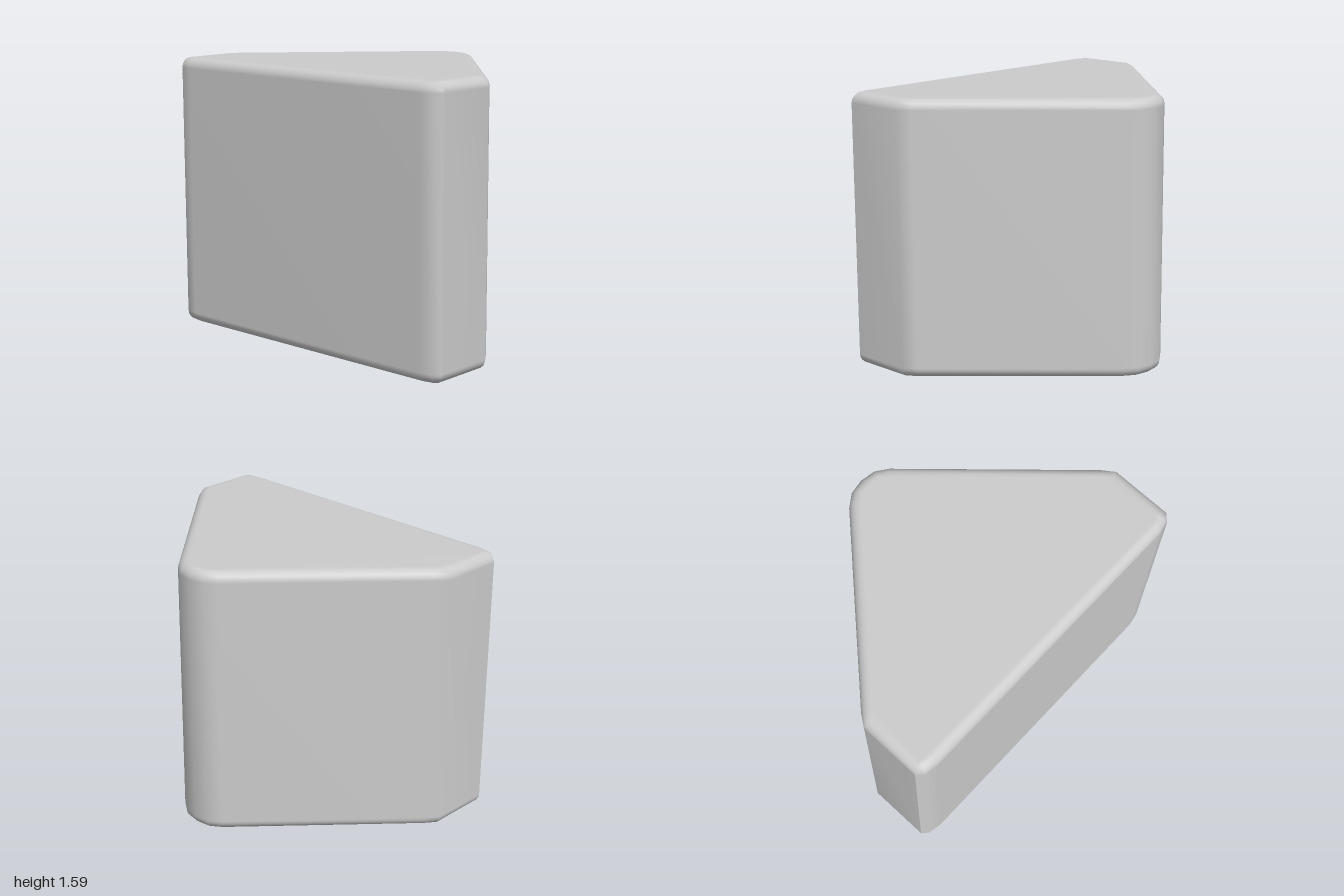
import * as THREE from 'three';

const HEIGHT = 1.59;
const BEVEL = 0.06;

// Right half of the footprint as [x, z], from the front face round to the rear nose
const HALF = [
  [0.88, 0.705], [0.96, 0.69], [1, 0.655],
  [1, 0.29], [0.95, 0.22],
  [0.16, -0.64], [0.09, -0.69],
];

function footprint() {
  const right = HALF.map(([x, z]) => new THREE.Vector2(x, -z));
  const left = HALF.map(([x, z]) => new THREE.Vector2(-x, -z)).reverse();
  return new THREE.Shape([...right, new THREE.Vector2(0, 0.705), ...left]);
}

// Area-weighted smooth normals that stay split across edges sharper than the given angle
function weightedCreasedNormals(geometry, angle) {
  const geo = geometry.index ? geometry.toNonIndexed() : geometry;
  const pos = geo.attributes.position;
  const corner = (i) => new THREE.Vector3().fromBufferAttribute(pos, i);
  const key = (v) => v.toArray().map((n) => Math.round(n * 1e4)).join();
  const faces = [];
  const around = new Map();
  for (let i = 0; i < pos.count; i += 3) {
    const [a, b, c] = [corner(i), corner(i + 1), corner(i + 2)];
    const area = b.clone().sub(a).cross(c.clone().sub(a));
    const face = { area, dir: area.clone().normalize(), keys: [a, b, c].map(key) };
    faces.push(face);
    for (const k of face.keys) {
      if (!around.has(k)) around.set(k, []);
      around.get(k).push(face);
    }
  }
  const limit = Math.cos(angle);
  const normals = [];
  for (const face of faces) {
    for (const k of face.keys) {
      const sum = new THREE.Vector3();
      for (const other of around.get(k)) {
        if (other.dir.dot(face.dir) > limit) sum.add(other.area);
      }
      normals.push(...sum.normalize().toArray());
    }
  }
  geo.setAttribute('normal', new THREE.Float32BufferAttribute(normals, 3));
  return geo;
}

export function createModel() {
  const group = new THREE.Group();
  group.name = 'roundedWedge';

  // Solid wedge block with rounded top and bottom rims
  const block = new THREE.ExtrudeGeometry(footprint(), {
    depth: HEIGHT - 2 * BEVEL,
    bevelEnabled: true,
    bevelThickness: BEVEL,
    bevelSize: BEVEL,
    bevelOffset: -BEVEL,
    bevelSegments: 5,
  });
  block.rotateX(-Math.PI / 2);
  block.translate(0, BEVEL, 0);

  const body = new THREE.Mesh(
    weightedCreasedNormals(block, THREE.MathUtils.degToRad(45)),
    new THREE.MeshStandardMaterial({ color: 0xcccccc }),
  );
  body.name = 'wedgeBody';
  group.add(body);
  return group;
}
